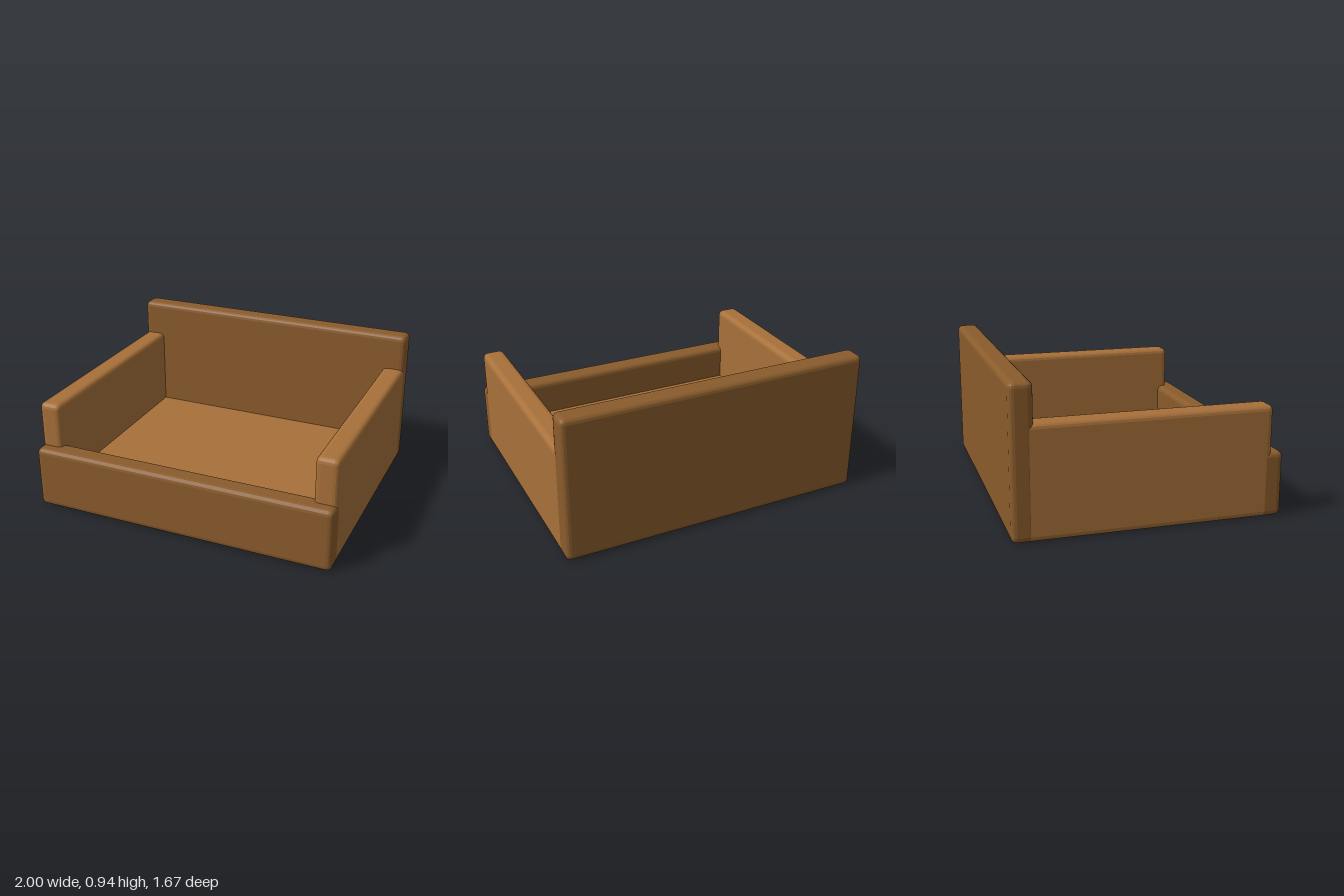
import * as THREE from 'three';
import { RoundedBoxGeometry } from 'three/addons/geometries/RoundedBoxGeometry.js';

const lightWood = new THREE.MeshStandardMaterial({ color: 0xa8713a, flatShading: true });
const darkWood = new THREE.MeshStandardMaterial({ color: 0x8a5c2c, flatShading: true });

// Board with faceted, softened edges, given by its minimum and maximum corners
function board(name, material, min, max) {
  const size = max.map((v, i) => v - min[i]);
  const mesh = new THREE.Mesh(new RoundedBoxGeometry(...size, 2, 0.034), material);
  mesh.position.set(...max.map((v, i) => (v + min[i]) / 2));
  mesh.name = name;
  return mesh;
}

export function createModel() {
  const group = new THREE.Group();
  group.name = 'openTray';

  // Floor running under all four walls
  group.add(board('floor', lightWood, [-0.99, 0, -0.825], [0.99, 0.172, 0.825]));

  // Low front wall and tall back wall
  group.add(board('frontWall', darkWood, [-1, 0.001, 0.693], [1, 0.41, 0.835]));
  group.add(board('backWall', darkWood, [-1, 0.001, -0.835], [1, 0.94, -0.693]));

  // Side walls, their ends let into the front and back walls
  for (const [name, s] of [['leftWall', 1], ['rightWall', -1]]) {
    const wall = board(name, lightWood, [0.853, 0.001, -0.76], [0.999, 0.702, 0.76]);
    wall.position.x *= s;
    group.add(wall);
  }
  return group;
}
